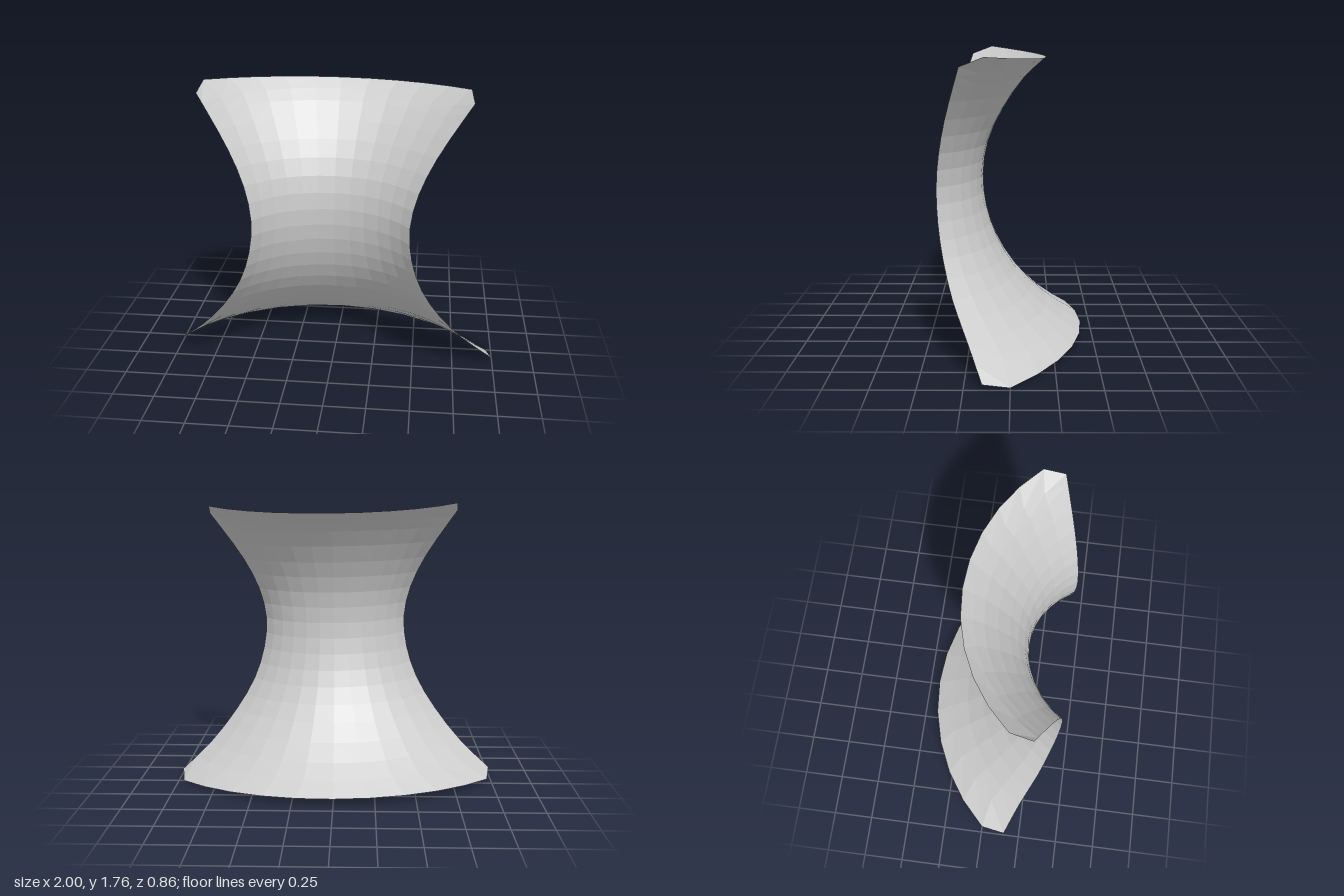
import * as THREE from 'three';

// Centre profile [y, z] and side-edge profile [x, y, z], bottom to top
const CENTRE = [[0.05, -0.435], [0.2, -0.22], [0.4, -0.03], [0.6, 0.09], [0.8, 0.155],
  [1.0, 0.175], [1.2, 0.145], [1.4, 0.055], [1.6, -0.085], [1.715, -0.21]];
const EDGE = [[0.998, 0.045, 0.15], [0.825, 0.2, 0.23], [0.66, 0.4, 0.325], [0.54, 0.6, 0.385], [0.475, 0.8, 0.417],
  [0.457, 1.0, 0.425], [0.498, 1.2, 0.405], [0.59, 1.4, 0.362], [0.717, 1.6, 0.302], [0.785, 1.7, 0.27]];
// Corners of the clipped rims, one column in from the side edge
const RIM = { bottom: [0.968, 0.015, 0], top: [0.77, 1.75, 0.14] };
const COLS = 12, ROWS = 18, HALF = COLS / 2;

function createSheet() {
  const centre = new THREE.CatmullRomCurve3(CENTRE.map(([y, z]) => new THREE.Vector3(0, y, z)));
  const edge = new THREE.CatmullRomCurve3(EDGE.map((p) => new THREE.Vector3(...p)));
  const positions = [], index = [];

  for (let r = 0; r <= ROWS; r++) {
    const c = centre.getPoint(r / ROWS), e = edge.getPoint(r / ROWS);
    const rim = r === 0 ? RIM.bottom : r === ROWS ? RIM.top : null;
    // Each row is a circular arc through the centre point and its end point
    const end = rim ? new THREE.Vector3(...rim) : e;
    const reach = rim ? HALF - 1 : HALF;
    const sag = end.z - c.z;
    const radius = (end.x * end.x + sag * sag) / (2 * sag);
    const angle = Math.atan2(end.x, radius - sag);

    for (let i = 0; i <= COLS; i++) {
      const u = (i - HALF) / reach;
      let x = radius * Math.sin(u * angle);
      let y = c.y + (end.y - c.y) * u * u;
      let z = c.z + radius * (1 - Math.cos(u * angle));
      if (Math.abs(i - HALF) === HALF) {
        x = Math.sign(u) * e.x;
        y = e.y;
        z = e.z;
      }
      // Slight sideways lean
      positions.push(x + 0.009 * y, y - 0.014 * x, z);
      if (r < ROWS && i < COLS) {
        const a = r * (COLS + 1) + i, b = a + COLS + 1;
        index.push(a, a + 1, b + 1, a, b + 1, b);
      }
    }
  }
  const geometry = new THREE.BufferGeometry();
  geometry.setAttribute('position', new THREE.Float32BufferAttribute(positions, 3));
  geometry.setIndex(index);
  geometry.computeVertexNormals();
  return geometry;
}

export function createModel() {
  const group = new THREE.Group();
  group.name = 'saddleSurface';
  const sheet = new THREE.Mesh(createSheet(), new THREE.MeshStandardMaterial({
    color: 0xcccccc, flatShading: true, side: THREE.DoubleSide,
  }));
  sheet.name = 'curvedSheet';
  group.add(sheet);
  return group;
}
